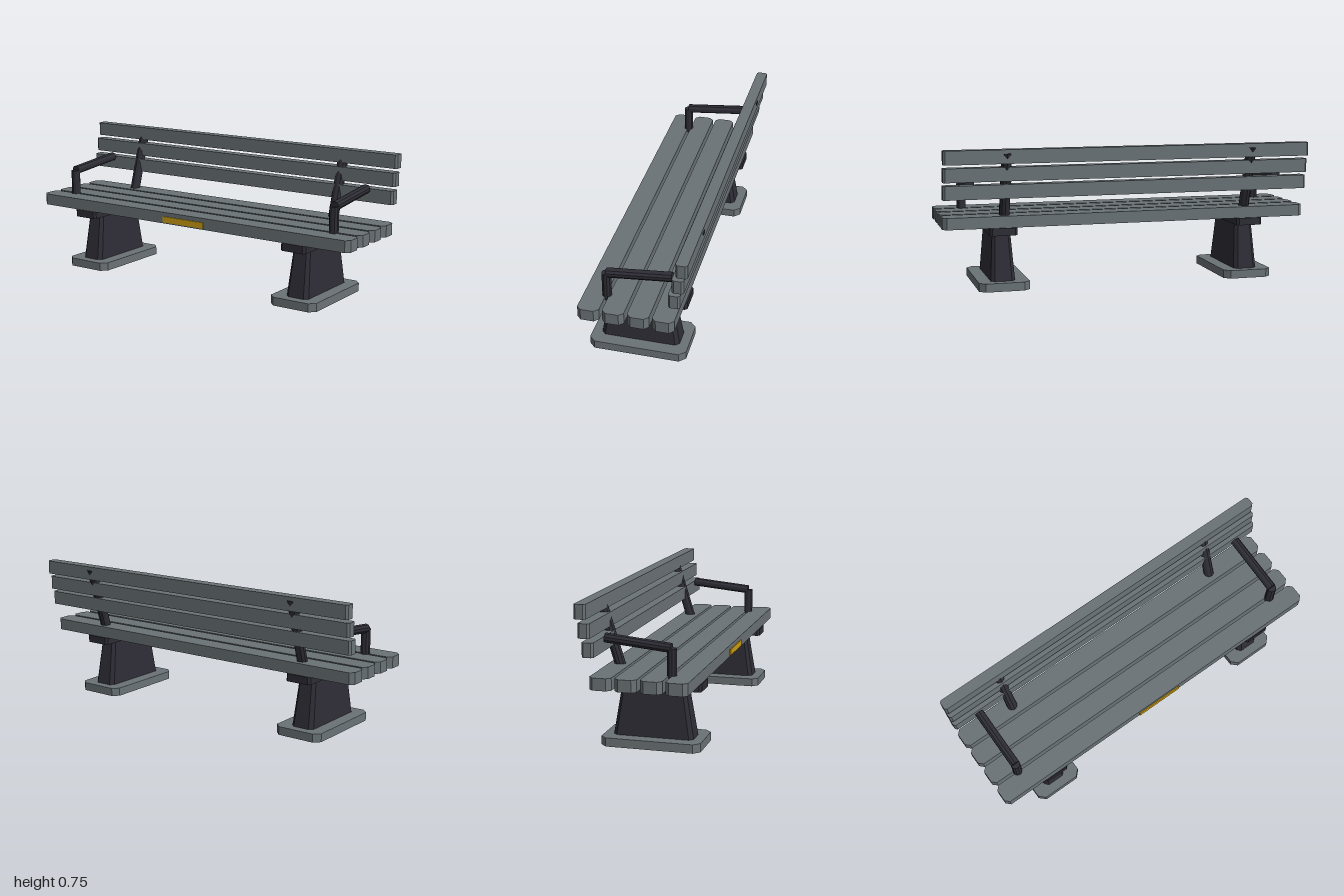
import * as THREE from 'three';

const slatGrey = new THREE.MeshStandardMaterial({ color: 0x6b7377, flatShading: true });
slatGrey.name = 'slatGrey';
const darkMetal = new THREE.MeshStandardMaterial({ color: 0x2e2d36, flatShading: true });
darkMetal.name = 'darkMetal';
const brassYellow = new THREE.MeshStandardMaterial({ color: 0xcfa012, flatShading: true });
brassYellow.name = 'brassYellow';

// Board with cut corners in plan, standing from y0 to y1
function board(name, material, x, z, width, depth, y0, y1, cut) {
  const w = width / 2, d = depth / 2;
  const outline = [
    [w - cut, -d], [w, -d + cut], [w, d - cut], [w - cut, d],
    [-w + cut, d], [-w, d - cut], [-w, -d + cut], [-w + cut, -d],
  ].map(([a, b]) => new THREE.Vector2(a, b));
  const geometry = new THREE.ExtrudeGeometry(new THREE.Shape(outline), { depth: y1 - y0, bevelEnabled: false });
  geometry.rotateX(-Math.PI / 2);
  const mesh = new THREE.Mesh(geometry, material);
  mesh.name = name;
  mesh.position.set(x, y0, z);
  return mesh;
}

// Straight round bar between two points in a plane of constant x
function bar(name, x, [y0, z0], [y1, z1], radius) {
  const a = new THREE.Vector3(x, y0, z0), b = new THREE.Vector3(x, y1, z1);
  const dir = b.clone().sub(a);
  const mesh = new THREE.Mesh(new THREE.CylinderGeometry(radius, radius, dir.length(), 10), darkMetal);
  mesh.name = name;
  mesh.position.copy(a).add(b).multiplyScalar(0.5);
  mesh.quaternion.setFromUnitVectors(new THREE.Vector3(0, 1, 0), dir.normalize());
  return mesh;
}

// Pedestal narrowing towards the top
function pedestal(x) {
  const height = 0.25;
  const mesh = board('pedestal', darkMetal, x, 0.033, 0.13, 0.415, 0.045, 0.045 + height, 0.02);
  const p = mesh.geometry.attributes.position;
  for (let i = 0; i < p.count; i++) {
    const t = p.getY(i) / height;
    p.setX(i, p.getX(i) * (1 - 0.25 * t));
    p.setZ(i, p.getZ(i) * (1 - 0.2 * t));
  }
  mesh.geometry.computeVertexNormals();
  return mesh;
}

export function createModel() {
  const bench = new THREE.Group();
  bench.name = 'bench';

  // Seat
  for (let i = 0; i < 4; i++) {
    bench.add(board('seatSlat', slatGrey, 0, 0.225 - i * 0.1267, 2, 0.111, 0.335, 0.397, 0.022));
  }

  // Backrest, each slat stepped back from the one below
  for (let i = 0; i < 3; i++) {
    const y = 0.493 + i * 0.092;
    bench.add(board('backSlat', slatGrey, 0, -0.2125 - i * 0.0187, 2, 0.06, y, y + 0.073, 0.011));
  }

  // Plaque on the front slat
  const plaque = new THREE.Mesh(new THREE.BoxGeometry(0.265, 0.032, 0.008), brassYellow);
  plaque.name = 'plaque';
  plaque.position.set(0, 0.358, 0.2825);
  bench.add(plaque);

  // Legs, back supports and armrests on both sides
  for (const side of [-1, 1]) {
    const legs = new THREE.Group();
    legs.name = side > 0 ? 'leftSupport' : 'rightSupport';
    legs.add(
      board('foot', slatGrey, side * 0.68, 0.034, 0.27, 0.513, 0, 0.045, 0.032),
      pedestal(side * 0.682),
      board('seatBracket', darkMetal, side * 0.684, 0.033, 0.145, 0.505, 0.295, 0.335, 0.012),
      bar('backSupport', side * 0.671, [0.345, -0.141], [0.735, -0.261], 0.028),
      bar('armPost', side * 0.852, [0.378, 0.165], [0.531, 0.165], 0.025),
      bar('armrest', side * 0.852, [0.532, 0.163], [0.565, -0.171], 0.025),
    );
    bench.add(legs);
  }
  return bench;
}
